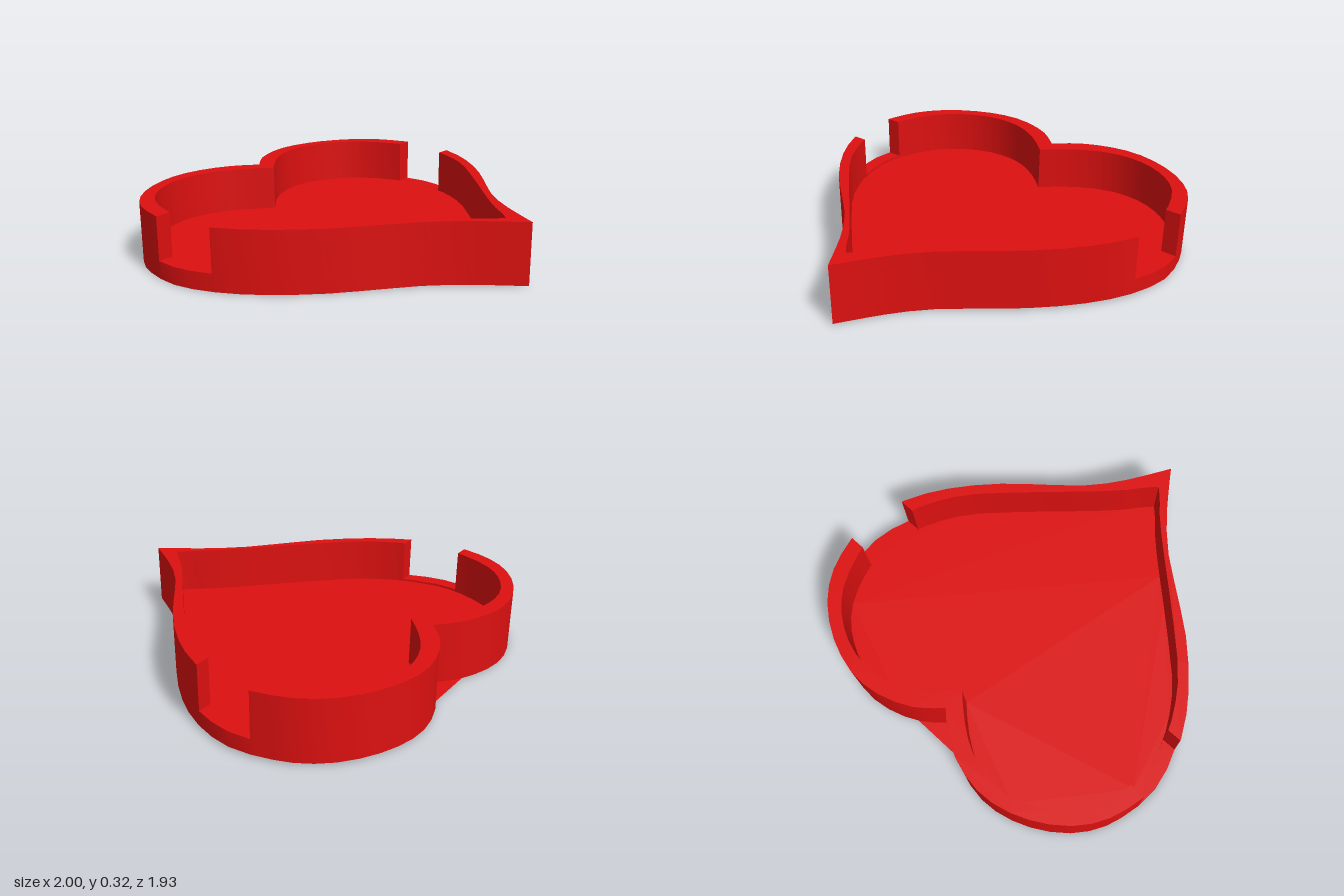
import * as THREE from 'three';
import { toCreasedNormals } from 'three/addons/utils/BufferGeometryUtils.js';

const HEIGHT = 0.313, FLOOR = 0.078, NOTCH = 0.09;
const NOTCH_BACK = -0.46, NOTCH_FRONT = -0.14;

// right half of each heart as [x, z], from the cleft round to the tip
const OUTER = [[0, -0.78], [0.06, -0.835], [0.135, -0.89], [0.27, -0.945], [0.415, -0.965], [0.56, -0.94],
  [0.7, -0.88], [0.83, -0.785], [0.92, -0.67], [0.97, -0.545], [1, -0.37], [0.97, -0.2], [0.89, -0.025],
  [0.78, 0.13], [0.62, 0.3], [0.445, 0.445], [0.27, 0.595], [0.145, 0.745], [0.07, 0.855], [0, 0.963]];
const INNER = [[0, -0.665], [0.1, -0.755], [0.21, -0.83], [0.31, -0.872], [0.42, -0.89], [0.55, -0.875],
  [0.665, -0.825], [0.76, -0.755], [0.835, -0.66], [0.9, -0.5], [0.922, -0.37], [0.88, -0.16], [0.81, -0.01],
  [0.72, 0.12], [0.505, 0.335], [0.29, 0.535], [0.13, 0.69], [0.045, 0.79], [0, 0.835]];

// sample a half outline, leaning the tip slightly to one side
function half(points, side, lean) {
  const curve = new THREE.CatmullRomCurve3(points.map(([x, z]) => new THREE.Vector3(x, 0, z)), false, 'centripetal');
  return curve.getPoints(30).map(p =>
    new THREE.Vector2(side * p.x + lean * Math.max(0, (p.z - 0.3) / 0.66), p.z));
}

// part of a half outline between two z values, measured on the run from lobe to tip
function clip(line, from, to) {
  const out = [];
  const start = line.reduce((best, p, i) => (p.y < line[best].y ? i : best), 0);
  line.forEach((p, i) => {
    const q = line[i - 1];
    if (q && i > start) {
      for (const cut of [from, to]) {
        if (q.y < cut && p.y > cut) out.push(q.clone().lerp(p, (cut - q.y) / (p.y - q.y)));
      }
    }
    const z = i < start ? line[start].y : p.y;
    if (z >= from && z <= to) out.push(p);
  });
  return out;
}

// the whole body rises very slightly towards its left
const rise = x => 0.006 * (x + 1);

// upright prism over an [x, z] outline; a level top ignores the slope
function prism(outline, height, levelTop = false) {
  const shape = new THREE.Shape(outline.map(p => new THREE.Vector2(p.x, -p.y)));
  const geo = new THREE.ExtrudeGeometry(shape, { depth: height, bevelEnabled: false });
  geo.rotateX(-Math.PI / 2);
  const pos = geo.attributes.position;
  for (let i = 0; i < pos.count; i++) {
    const top = pos.getY(i) > height / 2;
    if (!(top && levelTop)) pos.setY(i, pos.getY(i) + rise(pos.getX(i)));
  }
  return toCreasedNormals(geo, 0.4);
}

export function createModel() {
  const group = new THREE.Group();
  const red = new THREE.MeshStandardMaterial({ color: 0xdd1010 });
  const add = (name, geo) => {
    const mesh = new THREE.Mesh(geo, red);
    mesh.name = name;
    group.add(mesh);
  };

  // floor inside the walls
  const innerRight = half(INNER, 1, 0), innerLeft = half(INNER, -1, 0);
  add('floor', prism([...innerRight, ...innerLeft.slice(1, -1).reverse()], FLOOR));

  // walls, with a low rim where each side is notched
  for (const [side, word] of [[1, 'left'], [-1, 'right']]) {
    const outer = half(OUTER, side, 0.02);
    const inner = side > 0 ? innerRight : innerLeft;
    const band = (from, to) => [...clip(outer, from, to), ...clip(inner, from, to).reverse()];
    add(word + 'BackWall', prism(band(-2, NOTCH_BACK), HEIGHT));
    add(word + 'NotchRim', prism(band(NOTCH_BACK, NOTCH_FRONT), NOTCH, true));
    add(word + 'FrontWall', prism(band(NOTCH_FRONT, 2), HEIGHT));
  }

  // two one-sided sheets bridging the cleft: lower one faces up, upper one faces down
  const sheet = (y, up) => {
    const a = [-0.135, y + rise(-0.135), -0.89], b = [0.135, y + rise(0.135), -0.89], c = [0, y + rise(0), -0.78];
    const geo = new THREE.BufferGeometry();
    geo.setAttribute('position', new THREE.Float32BufferAttribute((up ? [a, c, b] : [a, b, c]).flat(), 3));
    geo.computeVertexNormals();
    return geo;
  };
  add('lowerCleftWeb', sheet(0, true));
  add('upperCleftWeb', sheet(FLOOR, false));

  return group;
}
